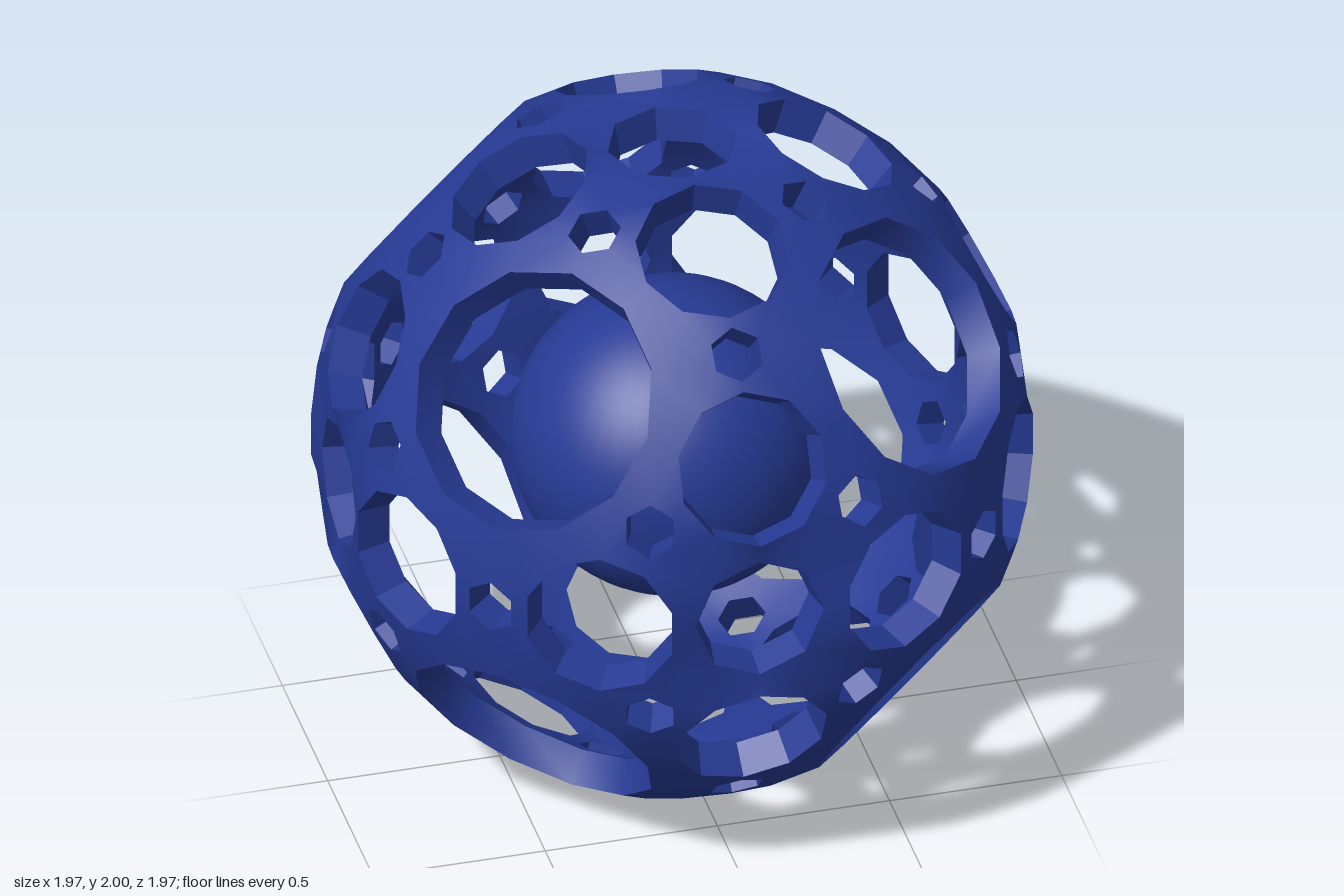
import * as THREE from 'three';
import { ConvexGeometry } from 'three/addons/geometries/ConvexGeometry.js';
import { toCreasedNormals } from 'three/addons/utils/BufferGeometryUtils.js';

const R = 1.0314;        // outer radius of the cage rims
const INNER = 0.9;       // inner skin relative to the outer skin
const SQUASH = 0.985;    // slight narrowing in x and z

// One family of holes: direction pattern, angular radius in degrees, sides, rim height
const FAMILIES = [
  { dir: [0, 0, 1], angle: 10.9, sides: 8, lift: 0.97 },
  { dir: [1, 1, 1], angle: 21.4, sides: 12, lift: 1 },
  { dir: [0, 1, 2], angle: 12.4, sides: 10, lift: 1 },
  { dir: [1, 1, 3], angle: 4.3, sides: 6, lift: 1 },
  { dir: [0, 1, 1], angle: 4.4, sides: 6, lift: 1 },
];

// All distinct permutations and sign changes of a direction
function spread([a, b, c]) {
  const found = new Map();
  for (const p of [[a, b, c], [a, c, b], [b, a, c], [b, c, a], [c, a, b], [c, b, a]]) {
    for (let s = 0; s < 8; s++) {
      const d = p.map((v, i) => (v === 0 ? 0 : (s >> i) & 1 ? -v : v));
      found.set(d.join(), new THREE.Vector3(...d).normalize());
    }
  }
  return [...found.values()];
}

// Rim of a hole as unit vectors, counter-clockwise seen from outside
function rimOf(n, angle, sides) {
  const up = Math.abs(n.y) > 0.99 ? new THREE.Vector3(0, 0, 1) : new THREE.Vector3(0, 1, 0);
  const u = up.addScaledVector(n, -up.dot(n)).normalize();
  const v = new THREE.Vector3().crossVectors(n, u);
  const t = THREE.MathUtils.degToRad(angle);
  return Array.from({ length: sides }, (_, i) => {
    const a = (i / sides) * Math.PI * 2;
    return n.clone().multiplyScalar(Math.cos(t))
      .addScaledVector(u, Math.sin(t) * Math.cos(a))
      .addScaledVector(v, Math.sin(t) * Math.sin(a));
  });
}

function cageGeometry() {
  const units = [], holeOf = [], outer = [], holes = [];
  for (const { dir, angle, sides, lift } of FAMILIES) {
    for (const n of spread(dir)) {
      const ring = [];
      for (const p of rimOf(n, angle, sides)) {
        ring.push(units.length);
        holeOf.push(holes.length);
        units.push(p);
        outer.push(p.clone().multiplyScalar(R * lift).multiply(new THREE.Vector3(SQUASH, 1, SQUASH)));
      }
      holes.push(ring);
    }
  }
  const inner = outer.map((p) => p.clone().multiplyScalar(INNER));
  const positions = [];
  const tri = (...pts) => pts.forEach((p) => positions.push(p.x, p.y, p.z));

  // The skin spans the rims: hull of all rim points, minus the faces that cap a hole.
  // A tiny offset keeps the points in general position.
  const hull = new ConvexGeometry(
    units.map((p, i) => p.clone().multiplyScalar(1 + 1e-6 * Math.sin(i * 12.9898)))
  ).getAttribute('position');
  const q = new THREE.Vector3();
  const nearest = (k) => {
    q.fromBufferAttribute(hull, k);
    let best = 0, dist = Infinity;
    units.forEach((p, i) => {
      const d = p.distanceToSquared(q);
      if (d < dist) { dist = d; best = i; }
    });
    return best;
  };
  for (let k = 0; k < hull.count; k += 3) {
    const [a, b, c] = [nearest(k), nearest(k + 1), nearest(k + 2)];
    if (holeOf[a] === holeOf[b] && holeOf[b] === holeOf[c]) continue;
    tri(outer[a], outer[b], outer[c]);
    tri(inner[a], inner[c], inner[b]);
  }

  // Walls of the holes
  for (const ring of holes) {
    ring.forEach((a, i) => {
      const b = ring[(i + 1) % ring.length];
      tri(outer[a], outer[b], inner[a]);
      tri(outer[b], inner[b], inner[a]);
    });
  }
  const geometry = new THREE.BufferGeometry();
  geometry.setAttribute('position', new THREE.Float32BufferAttribute(positions, 3));
  return toCreasedNormals(geometry, 0.6);
}

export function createModel() {
  const model = new THREE.Group();
  model.name = 'holeyBall';
  const material = new THREE.MeshStandardMaterial({ color: 0x263a94 });

  const cage = new THREE.Mesh(cageGeometry(), material);
  cage.name = 'outerCage';

  // Loose ball in the middle
  const ball = new THREE.Mesh(new THREE.SphereGeometry(0.455, 48, 32), material);
  ball.name = 'innerBall';

  for (const part of [cage, ball]) {
    part.position.y = 1;
    model.add(part);
  }
  return model;
}
